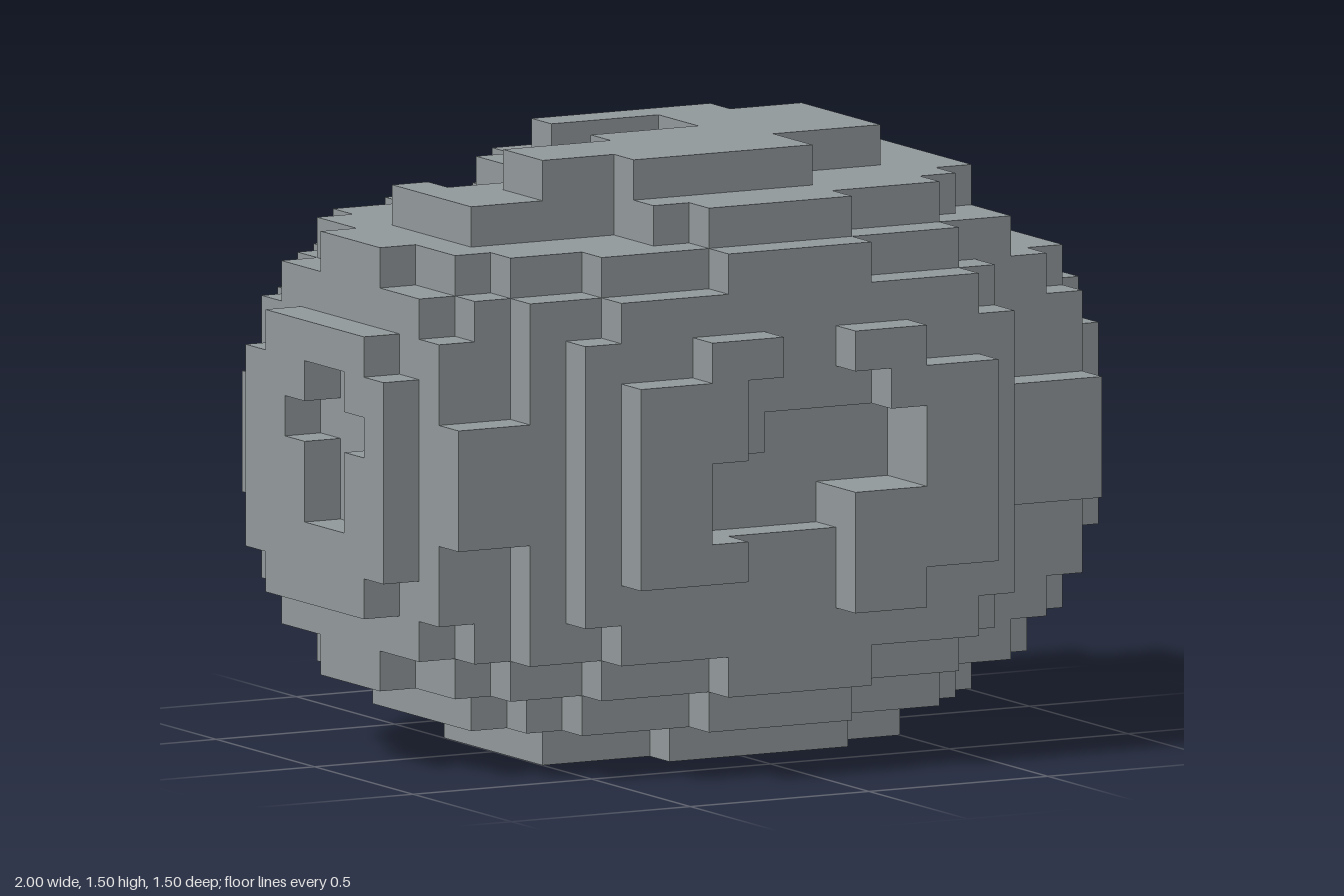
import * as THREE from 'three';

const S = 0.1; // edge length of one block

// Hollows cut from the boulder: [x0, x1, y0, y1, z0, z1]
const hollows = [
  // winding front pit, two blocks deep in the middle
  [-0.1, 0.1, 0.4, 1.1, 0.65, 0.75],
  [-0.2, 0.2, 0.8, 1.0, 0.65, 0.75],
  [-0.3, 0.1, 0.6, 0.8, 0.55, 0.75],
  [-0.1, 0.3, 0.7, 0.9, 0.55, 0.75],
  [-0.2, 0.1, 0.5, 0.6, 0.65, 0.75],
  [-0.3, 0.1, 0.4, 0.5, 0.65, 0.75],
  // back slot and undercut
  [0.1, 0.5, 0.6, 0.8, -0.75, -0.65],
  [-0.1, 0.2, 0.9, 1.0, -0.75, -0.65],
  // upper left shoulder
  [0.8, 0.9, 1.1, 1.2, -0.15, 0.05],
  [0.7, 0.9, 1.2, 1.3, -0.75, 0.75],
  // right side
  [-1.0, -0.9, 0.8, 0.9, -0.15, 0.25],
  [-1.0, -0.9, 0.6, 1.0, -0.05, 0.15],
  // broken cap
  [-0.5, 0.1, 1.4, 1.5, -0.25, -0.05],
  [-0.5, -0.2, 1.4, 1.5, -0.35, 0.05],
  [0.2, 0.5, 1.4, 1.5, 0.15, 0.35],
  // worn layer under the cap
  [-0.1, 0.1, 1.3, 1.4, -0.25, -0.05],
  [-0.6, -0.1, 1.3, 1.4, -0.15, -0.05],
  [-0.7, -0.3, 1.3, 1.4, -0.55, -0.15],
  [-0.7, -0.3, 1.3, 1.4, 0.25, 0.55],
  // underside
  [-0.3, -0.2, 0.0, 0.1, 0.25, 0.35],
];

// Lumps left standing on the worn left side: [y0, y1, z0, z1]
const lumps = [
  [0.8, 1.1, 0.15, 0.35],
  [0.9, 1.0, -0.25, -0.15],
  [0.5, 0.6, 0.05, 0.35],
  [0.6, 0.7, 0.15, 0.25],
  [0.4, 0.8, -0.15, -0.05],
  [0.7, 0.8, -0.25, -0.15],
  [0.4, 0.5, -0.25, 0.25],
];

// A block is solid inside the rounded body, apart from the worn places
function solid(i, j, k) {
  const x = (i + 0.5) * S, y = (j + 0.5) * S, z = k * S;
  const ax = Math.abs(x), dy = y - 0.75;
  if (ax > 1 || (ax / 1.0846) ** 2.2 + (dy * dy + z * z) / 0.63 > 1) return false;
  // front corners and back shoulders
  if (ax > 0.6 && z > 0.55) return false;
  if ((x > 0.6 || x < -0.7) && z > 0.45 && Math.abs(dy) > 0.15) return false;
  if (ax > 0.2 && y > 1 && z < -0.65) return false;
  if (x > 0.9) return lumps.some(([y0, y1, z0, z1]) => y > y0 && y < y1 && z > z0 && z < z1);
  return !hollows.some(([x0, x1, y0, y1, z0, z1]) =>
    x > x0 && x < x1 && y > y0 && y < y1 && z > z0 && z < z1);
}

// Emit a square for every block side that touches open air
function blockSurface() {
  const positions = [], normals = [], index = [];
  for (let i = -10; i < 10; i++) for (let j = 0; j < 15; j++) for (let k = -7; k <= 7; k++) {
    if (!solid(i, j, k)) continue;
    const centre = [(i + 0.5) * S, (j + 0.5) * S, k * S];
    for (let axis = 0; axis < 3; axis++) for (const side of [-1, 1]) {
      const n = [0, 0, 0];
      n[axis] = side;
      if (solid(i + n[0], j + n[1], k + n[2])) continue;
      const u = (axis + 1) % 3, v = (axis + 2) % 3, base = positions.length / 3;
      for (const [a, b] of [[-1, -1], [1, -1], [1, 1], [-1, 1]]) {
        const p = [...centre];
        p[axis] += side * S / 2;
        p[u] += a * side * S / 2;
        p[v] += b * S / 2;
        positions.push(...p);
        normals.push(...n);
      }
      index.push(base, base + 1, base + 2, base, base + 2, base + 3);
    }
  }
  const geometry = new THREE.BufferGeometry();
  geometry.setAttribute('position', new THREE.Float32BufferAttribute(positions, 3));
  geometry.setAttribute('normal', new THREE.Float32BufferAttribute(normals, 3));
  geometry.setIndex(index);
  return geometry;
}

export function createModel() {
  const group = new THREE.Group();
  group.name = 'blockBoulder';
  const stone = new THREE.MeshStandardMaterial({ color: 0x91989a });
  stone.name = 'greyStone';
  const boulder = new THREE.Mesh(blockSurface(), stone);
  boulder.name = 'boulder';
  group.add(boulder);
  return group;
}
